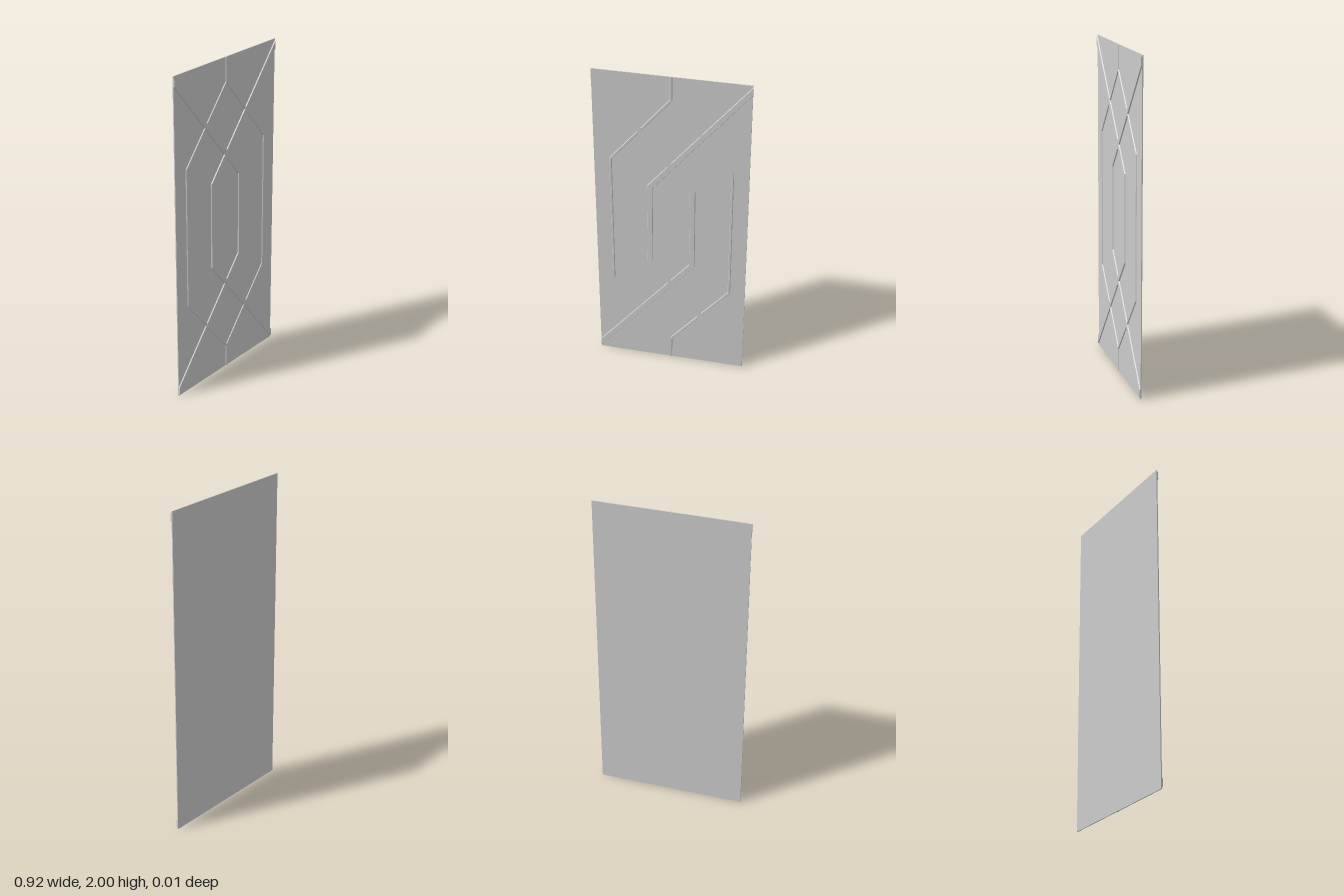
import * as THREE from 'three';

const W = 0.458;          // half width of the pane
const BACK = -0.0065;     // rear face of the pane
const FACE = 0;           // front face of the pane

// Bevelled strip swept along a mitred path on the pane's front face.
// endCut: optional direction along which both open ends are sliced.
function strip(name, path, width, height, material, { closed = false, endCut = null } = {}) {
  const pts = path.map(([x, y]) => new THREE.Vector2(x, y));
  const n = pts.length;
  const bevel = 0.003;
  const section = [
    [width / 2, FACE], [width / 2 - bevel, FACE + height],
    [-width / 2 + bevel, FACE + height], [-width / 2, FACE],
  ];
  const normal = (a, b) => new THREE.Vector2(a.y - b.y, b.x - a.x).normalize();

  const rings = pts.map((p, i) => {
    const hasPrev = closed || i > 0;
    const hasNext = closed || i < n - 1;
    const before = hasPrev ? normal(pts[(i + n - 1) % n], p) : null;
    const after = hasNext ? normal(p, pts[(i + 1) % n]) : null;
    const ref = before || after;
    const miter = before && after ? before.clone().add(after).normalize()
      : (endCut || ref).clone();
    miter.divideScalar(miter.dot(ref));
    return section.map(([o, z]) => [p.x + miter.x * o, p.y + miter.y * o, z]);
  });

  const pos = [];
  const quad = (a, b, c, d) => pos.push(...a, ...b, ...c, ...a, ...c, ...d);
  for (let i = 0; i < (closed ? n : n - 1); i++) {
    const r = rings[i], s = rings[(i + 1) % n];
    for (let k = 0; k < 3; k++) quad(r[k], r[k + 1], s[k + 1], s[k]);
  }
  if (!closed) {
    quad(...rings[0].slice().reverse());
    quad(...rings[n - 1]);
  }
  const geo = new THREE.BufferGeometry();
  geo.setAttribute('position', new THREE.Float32BufferAttribute(pos, 3));
  geo.computeVertexNormals();
  const mesh = new THREE.Mesh(geo, material);
  mesh.name = name;
  return mesh;
}

export function createModel() {
  const group = new THREE.Group();
  group.name = 'decorativePanel';
  const material = new THREE.MeshStandardMaterial({
    color: 0xcccccc, flatShading: true, side: THREE.DoubleSide,
  });

  // Flat pane
  const pane = new THREE.Mesh(new THREE.BoxGeometry(2 * W, 2, FACE - BACK), material);
  pane.name = 'pane';
  pane.position.set(0, 1, (FACE + BACK) / 2);
  group.add(pane);

  // Thin elongated hexagon
  group.add(strip('hexagonStrip', [
    [0, 1.855], [-0.36, 1.43], [-0.36, 0.57],
    [0, 0.145], [0.36, 0.57], [0.36, 1.43],
  ], 0.016, 0.0055, material, { closed: true }));

  // Short uprights joining the hexagon's points to the pane's edges
  group.add(strip('upperCentreStrip', [[0, 1.855], [0, 2]], 0.016, 0.0055, material));
  group.add(strip('lowerCentreStrip', [[0, 0], [0, 0.145]], 0.016, 0.0055, material));

  // Two wide bands crossing from the corners and running down the middle
  for (const s of [1, -1]) {
    group.add(strip(s > 0 ? 'rightCrossBand' : 'leftCrossBand', [
      [s * W, 1.965], [-s * 0.128, 1.265], [-s * 0.128, 0.735], [s * W, 0.035],
    ], 0.035, 0.0065, material, { endCut: new THREE.Vector2(0, 1) }));
  }
  return group;
}
